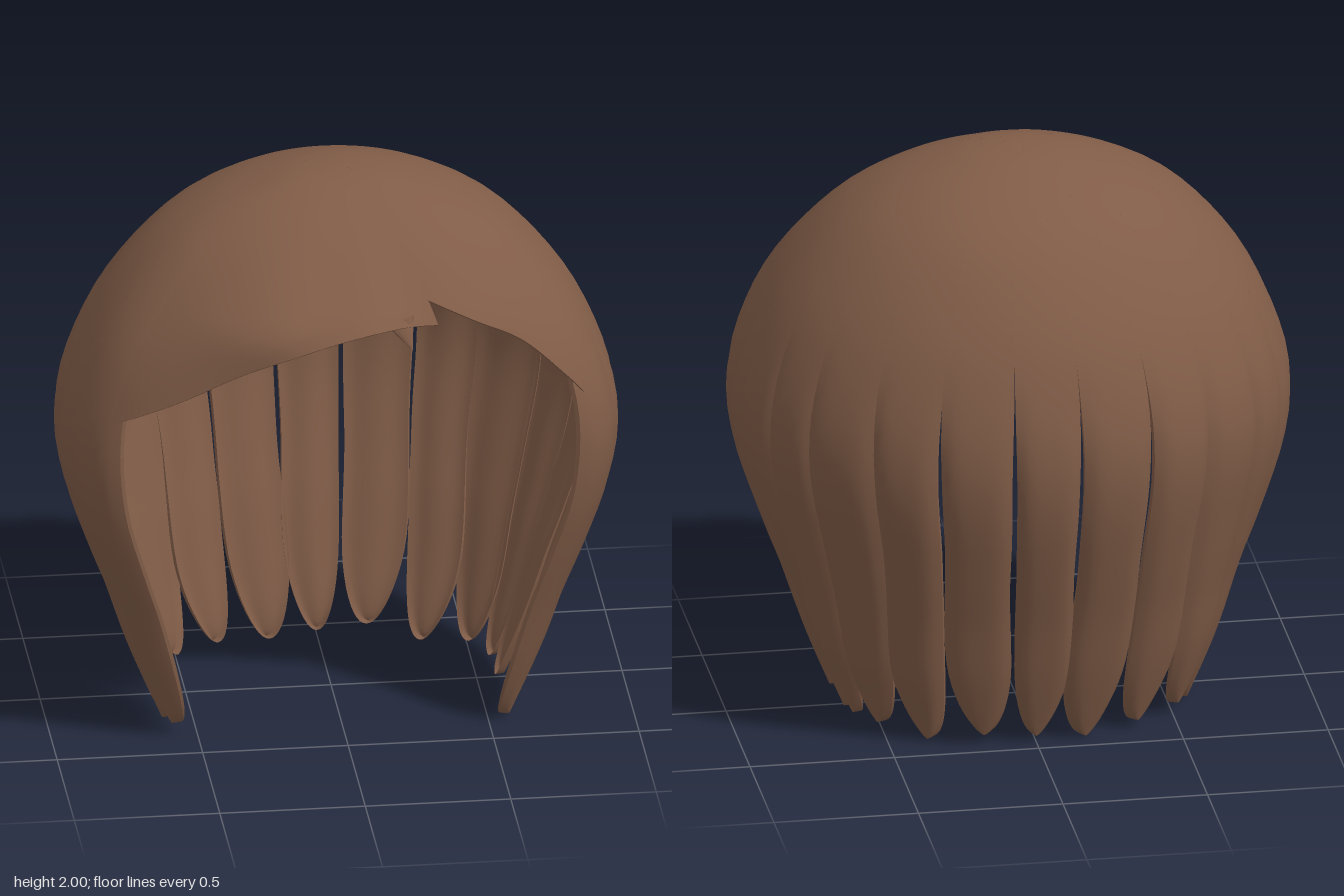
import * as THREE from 'three';
import { mergeGeometries } from 'three/addons/utils/BufferGeometryUtils.js';

const hairBrown = new THREE.MeshStandardMaterial({ color: 0x805c47 });
const { smoothstep, lerp } = THREE.MathUtils;
const CROWN_Z = 0.1;

// Dome profile: relative radius against height
const profile = new THREE.SplineCurve([
  [0, 2], [0.1, 1.995], [0.21, 1.978], [0.43, 1.905], [0.64, 1.775], [0.84, 1.545], [0.96, 1.3], [1, 1.1],
  [0.975, 0.9], [0.895, 0.66], [0.825, 0.48], [0.745, 0.25], [0.64, 0],
].map(([r, y]) => new THREE.Vector2(r, y))).getPoints(360);

function domeRadius(y) {
  let i = 1;
  while (i < profile.length - 1 && profile[i].y > y) i++;
  const a = profile[i - 1], b = profile[i];
  return lerp(a.x, b.x, Math.min(1, Math.max(0, (a.y - y) / (a.y - b.y))));
}

// Fuller front profile, rounded off where it reaches the fringe edge
function frontRadius(y) {
  const q = Math.max(0, 2 - y) / 0.37;
  const r = Math.sqrt(q) * (0.9 + 0.1 * q), cap = 1.01;
  const h = Math.max(0, 0.08 - Math.abs(r - cap));
  return Math.min(r, cap) - h * h / 0.32;
}

// Footprint: squarish at the front, elliptical at the back (angle 0 = front, + towards +x)
function outline(angle, y, low) {
  const s = Math.abs(Math.sin(angle)), c = Math.cos(angle);
  const n = c > 0 ? lerp(2.4, 3.1, smoothstep(2 - y, 0, 0.6)) : 2 + 0.4 * low;
  const depth = c > 0 ? 0.64 : 0.84;
  return 1 / Math.pow(Math.pow(s / 0.96, n) + Math.pow(Math.abs(c) / depth, n), 1 / n);
}

// Point on the hair surface; fullness pushes the front forwards
function surface(angle, y, fullness = 0) {
  const low = 1 - smoothstep(y, 0.1, 0.9);
  // the back locks fan outwards near their tips
  if (Math.cos(angle) < 0) angle += 0.07 * low * Math.sin(2 * angle);
  const r = outline(angle, y, low) * lerp(domeRadius(y), frontRadius(y), fullness);
  return new THREE.Vector3(Math.sin(angle) * r, y, CROWN_Z + Math.cos(angle) * r);
}

// Move a point towards the inside of the head
function inset(p, amount) {
  const d = new THREE.Vector3(0, Math.min(p.y, 1.1), CROWN_Z).sub(p).normalize();
  return p.addScaledVector(d, amount);
}

function grid(f, nu, nv) {
  const pos = [], index = [];
  for (let j = 0; j <= nv; j++) {
    for (let i = 0; i <= nu; i++) {
      pos.push(...f(i / nu, j / nv).toArray());
      if (i < nu && j < nv) {
        const a = j * (nu + 1) + i, b = a + nu + 1;
        index.push(a, b, a + 1, a + 1, b, b + 1);
      }
    }
  }
  const g = new THREE.BufferGeometry();
  g.setAttribute('position', new THREE.Float32BufferAttribute(pos, 3));
  g.setIndex(index);
  g.computeVertexNormals();
  return g;
}

// Thick sheet: outer face, inner face and the three visible rims
function slab(name, nu, nv, outer, inner) {
  const rim = (a, b, k) => a.lerp(b, k);
  const mesh = new THREE.Mesh(mergeGeometries([
    grid(outer, nu, nv),
    grid((u, v) => inner(1 - u, v), nu, nv),
    grid((u, k) => rim(outer(u, 1), inner(u, 1), k), nu, 1),
    grid((k, v) => rim(outer(1, v), inner(1, v), k), 1, nv),
    grid((k, v) => rim(inner(0, v), outer(0, v), k), 1, nv),
  ]), hairBrown);
  mesh.name = name;
  return mesh;
}

// One lock from the crown to a rounded tip, between two angles
function strand(name, from, to, seed) {
  const mid = (from + to) / 2, half = (to - from) / 2;
  const tip = 0.02 + 0.02 * Math.sin(seed * 2.3);
  // back locks leave narrow slits, side locks overlap
  const spread = Math.cos(mid) < -0.75 ? -0.07 : 0.1;
  const point = (u, v, isInner) => {
    const y = 2 - (2 - tip) * (1 - Math.cos(Math.PI * v)) / 2;
    const s = u * 2 - 1;
    const loose = 1 - smoothstep(y, 1.0, 1.5);
    const low = 1 - smoothstep(y, 0.2, 0.95);
    const k = Math.min(1, (y - tip) / 0.32);
    const taper = Math.sqrt(Math.max(0, 1 - (1 - k) * (1 - k)));
    const width = 1 + spread * loose * (spread < 0 ? smoothstep(y, 0.4, 0.7) : 1);
    const sway = 0.018 * low * Math.sin(y * 4 + seed * 1.7);
    const p = surface(mid + sway + s * half * taper * width, y);
    let depth = 0.03 * loose * s ** 4 + 0.006 * low * (1 + Math.sin(seed * 4.1));
    if (isInner) depth += (0.015 + 0.04 * (1 - s * s)) * Math.max(0.1, taper);
    return inset(p, depth);
  };
  return slab(name, 10, 44, (u, v) => point(u, v, false), (u, v) => point(u, v, true));
}

// Swept sheet of fringe, thin at its lower edge, which follows [angle, height] points
function fringe(name, edge, fullness) {
  const curve = new THREE.SplineCurve(edge.map(([a, y]) => new THREE.Vector2(a, y)));
  const point = (u, v) => {
    const e = curve.getPoint(u);
    return surface(e.x, 2 - (2 - e.y) * v * v, fullness(e.x));
  };
  return slab(name, 40, 24, point, (u, v) => inset(point(u, v), 0.04 - 0.034 * v ** 4));
}

export function createModel() {
  const group = new THREE.Group();
  group.name = 'bobHair';

  // Locks: one at the centre back, then mirrored pairs round to the temples
  const cuts = [0.144, 0.46, 0.745, 1.03, 1.25, 1.45, 1.62, 1.83, 2.09];
  group.add(strand('backStrand', Math.PI - cuts[0], Math.PI + cuts[0], 0));
  for (let i = 1; i < cuts.length; i++) {
    group.add(strand('leftStrand' + i, Math.PI - cuts[i], Math.PI - cuts[i - 1], i));
    group.add(strand('rightStrand' + i, Math.PI + cuts[i - 1], Math.PI + cuts[i], i + 9));
  }

  // Large fringe swept to the right, and the flatter piece to the left of the parting
  group.add(fringe('rightFringe', [
    [-1.08, 1.27], [-1.03, 1.29], [-0.82, 1.39], [-0.58, 1.5], [-0.3, 1.58], [0, 1.63], [0.24, 1.64], [0.49, 1.63],
  ], (a) => 1 - (a < 0 ? smoothstep(-a, 0.3, 1.12) : 0.55 * smoothstep(a, 0, 0.5))));
  group.add(fringe('leftFringe', [
    [0.33, 1.73], [0.49, 1.7], [0.7, 1.62], [0.886, 1.53], [1.02, 1.38], [1.08, 1.3],
  ], (a) => 0.42 * (1 - smoothstep(a, 0.49, 1.08))));

  // Small loose point under the fringe
  const wisp = new THREE.Mesh(new THREE.ConeGeometry(0.05, 0.11, 12), hairBrown);
  wisp.name = 'fringeWisp';
  wisp.scale.z = 0.25;
  wisp.position.set(0.18, 1.61, 0.675);
  wisp.rotation.set(-0.5, 0, Math.PI + 0.35);
  group.add(wisp);

  return group;
}
